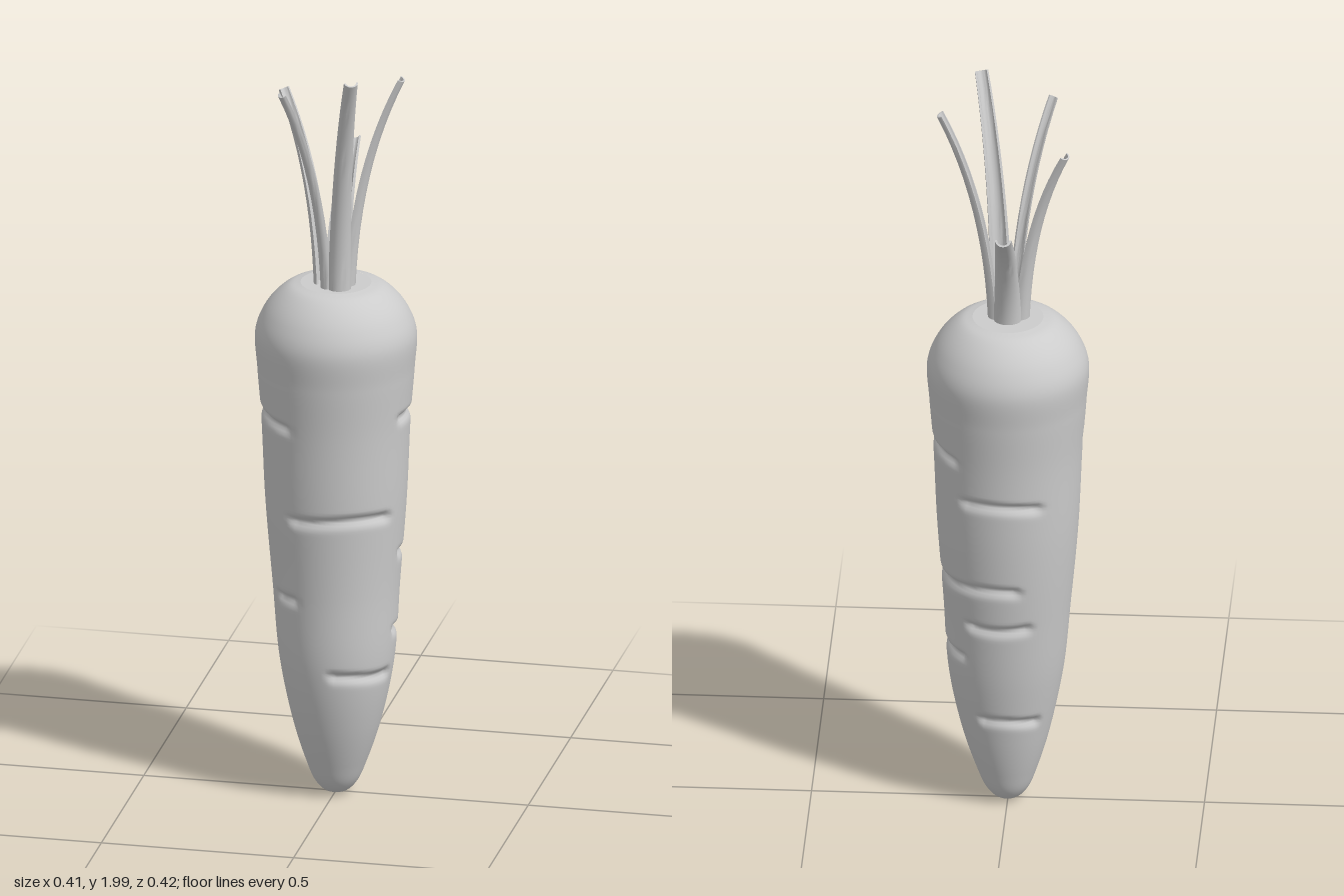
import * as THREE from 'three';
import { mergeVertices, toCreasedNormals } from 'three/addons/utils/BufferGeometryUtils.js';

const DEG = Math.PI / 180;
const material = new THREE.MeshStandardMaterial({ color: 0xcccccc });

// Root outline: radius, height
const PROFILE = [
  [0, 0], [0.03, 0.008], [0.055, 0.035], [0.078, 0.09], [0.112, 0.2], [0.146, 0.37],
  [0.162, 0.57], [0.18, 0.8], [0.19, 1.02], [0.2, 1.15], [0.205, 1.25],
  [0.185, 1.305], [0.155, 1.345], [0.12, 1.372], [0.09, 1.38],
];

// Skin grooves: height, start and end angle (0 = front, 90 = +x)
const GROOVES = [
  [1.04, -95, -22], [0.79, -33, 66], [0.565, -60, -22], [0.36, 0, 82],
  [1.04, 65, 145], [0.92, 140, 215], [0.67, 77, 198], [0.56, 140, 210],
  [0.46, 75, 145], [0.27, 148, 230],
];

// Depth of all grooves at a point: steep upper lip, softer lower side
function grooveDepth(angle, y) {
  let depth = 0;
  for (const [gy, a0, a1] of GROOVES) {
    const half = (a1 - a0) / 2;
    const off = THREE.MathUtils.euclideanModulo(angle / DEG - (a0 + a1) / 2 + 180, 360) - 180;
    const fade = 1 - THREE.MathUtils.smoothstep(Math.abs(off), half - 9, half);
    const dy = y - gy - 0.006 * Math.sin(off * 0.05 + gy * 9);
    const s = dy > 0 ? 0.009 : 0.015;
    depth = Math.max(depth, 0.014 * fade * Math.exp(-((dy / s) ** 2)));
  }
  return depth;
}

function rootGeometry() {
  const curve = new THREE.CatmullRomCurve3(PROFILE.map(([r, y]) => new THREE.Vector3(r, y, 0)));
  const pts = curve.getSpacedPoints(190).map((p) => new THREE.Vector2(Math.max(p.x, 0), p.y));
  let geo = new THREE.LatheGeometry(pts, 88);
  const pos = geo.attributes.position;
  for (let i = 0; i < pos.count; i++) {
    const x = pos.getX(i), y = pos.getY(i), z = pos.getZ(i);
    const r = Math.hypot(x, z);
    const k = r > 0.05 ? 1 - grooveDepth(Math.atan2(x, z), y) / r : 1;
    // the axis bends slightly forward in the lower half
    const bend = Math.exp(-(((y - 0.3) / 0.25) ** 2));
    pos.setXYZ(i, x * k + 0.006 * bend, y, z * k + 0.013 * bend);
  }
  geo.deleteAttribute('uv');
  geo.deleteAttribute('normal');
  geo = mergeVertices(geo, 1e-5);
  geo.computeVertexNormals();
  return geo;
}

// Channelled stalk: a crescent section swept along a curve, hollow side inward
function stalkGeometry(base, tip, w0, w1) {
  const start = new THREE.Vector3(base[0], 1.365, base[1]);
  const end = new THREE.Vector3(...tip);
  const out = new THREE.Vector3(end.x - start.x, 0, end.z - start.z);
  const mid = start.clone().addScaledVector(out, 0.12);
  mid.y = start.y + (end.y - start.y) * 0.58;
  const curve = new THREE.QuadraticBezierCurve3(start, mid, end);
  const side = new THREE.Vector3(0, 1, 0).cross(out.normalize());
  const RINGS = 12, ARC = 8, N = 2 * (ARC + 1);
  const verts = [], index = [];
  for (let j = 0; j <= RINGS; j++) {
    const u = j / RINGS;
    const p = curve.getPoint(u);
    const inward = curve.getTangent(u).cross(side);
    const w = THREE.MathUtils.lerp(w0, w1, u);
    for (let i = 0; i < N; i++) {
      const outer = i <= ARC;
      const a = Math.PI * (outer ? 1 - i / ARC : (i - ARC - 1) / ARC);
      const r = outer ? w : w * 0.74;
      const v = p.clone()
        .addScaledVector(side, r * Math.cos(a))
        .addScaledVector(inward, -r * 0.9 * Math.sin(a));
      verts.push(v.x, v.y, v.z);
    }
  }
  for (let j = 0; j < RINGS; j++) {
    for (let i = 0; i < N; i++) {
      const a = j * N + i, b = j * N + (i + 1) % N;
      index.push(a, b, b + N, a, b + N, a + N);
    }
  }
  // cut face at the tip
  const t = RINGS * N;
  for (let i = 0; i < ARC; i++) {
    const a = t + i, b = a + 1, c = t + N - 2 - i, d = c + 1;
    index.push(a, b, c, a, c, d);
  }
  const geo = new THREE.BufferGeometry();
  geo.setAttribute('position', new THREE.Float32BufferAttribute(verts, 3));
  geo.setIndex(index);
  return toCreasedNormals(geo, 40 * DEG);
}

// Stalks: base (x, z), tip (x, y, z), half width at base and tip
const STALKS = [
  [[0, -0.012], [0, 1.705, -0.2], 0.036, 0.021],
  [[0.028, 0.006], [0.168, 1.95, 0.013], 0.026, 0.017],
  [[0.018, 0.042], [0.078, 1.99, 0.178], 0.03, 0.018],
  [[-0.012, 0.042], [-0.105, 1.935, 0.153], 0.019, 0.014],
  [[-0.03, 0.008], [-0.145, 1.875, -0.052], 0.027, 0.017],
];

export function createModel() {
  const model = new THREE.Group();
  model.name = 'carrot';
  const add = (geo, name, parent = model) => {
    const mesh = new THREE.Mesh(geo, material);
    mesh.name = name;
    parent.add(mesh);
    return mesh;
  };

  add(rootGeometry(), 'root');

  // Flat crown where the stalks grow
  const crown = add(new THREE.CircleGeometry(0.092, 22), 'crown');
  crown.rotation.x = -Math.PI / 2;
  crown.position.y = 1.379;

  const stalks = new THREE.Group();
  stalks.name = 'stalks';
  model.add(stalks);
  STALKS.forEach((s, i) => add(stalkGeometry(...s), `stalk${i + 1}`, stalks));

  return model;
}
